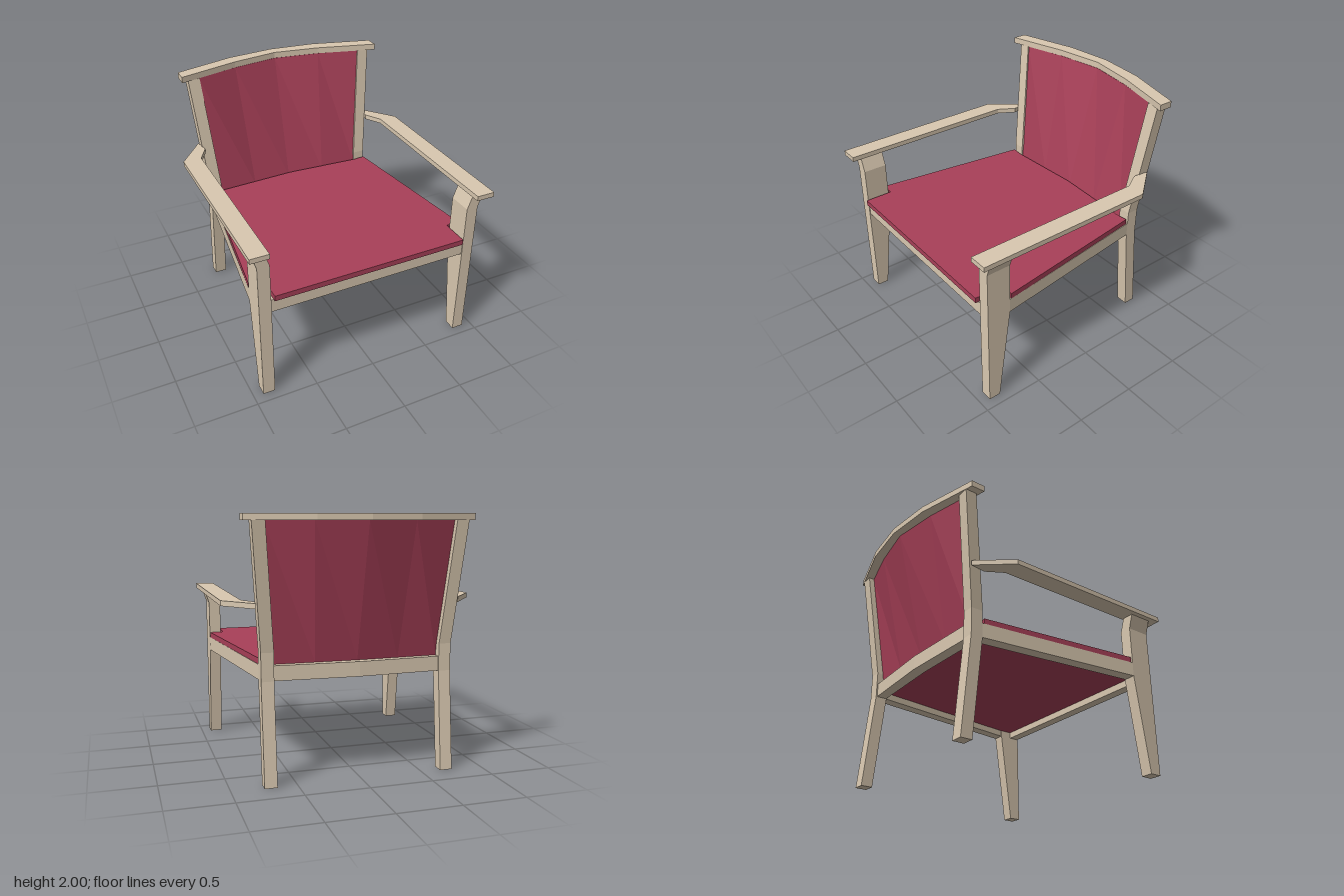
import * as THREE from 'three';

const wood = new THREE.MeshStandardMaterial({ color: 0xd9c8b0, flatShading: true });
const fabric = new THREE.MeshStandardMaterial({ color: 0xa84058, flatShading: true });

// Solid through a row of four-cornered sections, each counter-clockwise seen from the far end
function loft(rings) {
  const pos = [];
  const quad = (a, b, c, d) => [a, b, c, a, c, d].forEach((p) => pos.push(...p));
  for (let i = 0; i < rings.length - 1; i++) {
    for (let j = 0; j < 4; j++) {
      const k = (j + 1) % 4;
      quad(rings[i][j], rings[i][k], rings[i + 1][k], rings[i + 1][j]);
    }
  }
  quad(...[...rings[0]].reverse());
  quad(...rings[rings.length - 1]);
  const geo = new THREE.BufferGeometry();
  geo.setAttribute('position', new THREE.Float32BufferAttribute(pos, 3));
  geo.computeVertexNormals();
  return geo;
}

// Upright post from levels [y, x0, x1, z0, z1]; side -1 mirrors it
function post(levels, side) {
  return loft(levels.map(([y, x0, x1, z0, z1]) => {
    const ring = [[x0, z1], [x1, z1], [x1, z0], [x0, z0]].map(([x, z]) => [side * x, y, z]);
    return side < 0 ? ring.reverse() : ring;
  }));
}

// Flat slab with an [x, z] outline between two heights
function slab(outline, y0, y1) {
  const shape = new THREE.Shape(outline.map(([x, z]) => new THREE.Vector2(x, -z)));
  const geo = new THREE.ExtrudeGeometry(shape, { depth: y1 - y0, bevelEnabled: false });
  return geo.rotateX(-Math.PI / 2).translate(0, y0, 0);
}

const mirrorX = (points, side) => points.map(([x, z]) => [side * x, z]);

// Close a half outline that runs from one centre point to the other
function symmetric(half) {
  const other = mirrorX(half, -1).reverse().filter(([x]) => Math.abs(x) > 1e-6);
  return [...half, ...other];
}

export function createModel() {
  const chair = new THREE.Group();
  chair.name = 'armchair';
  const add = (name, geo, mat) => {
    const mesh = new THREE.Mesh(geo, mat);
    mesh.name = name;
    chair.add(mesh);
  };

  for (const [side, label] of [[1, 'left'], [-1, 'right']]) {
    // Front leg: tapered below the seat, leaning outward under the arm
    add(label + 'FrontLeg', post([
      [0, 0.825, 0.922, 0.825, 0.922],
      [0.785, 0.825, 0.922, 0.725, 0.922],
      [1.21, 0.825, 0.922, 0.725, 0.922],
      [1.325, 0.865, 0.96, 0.725, 0.922],
    ], side), wood);

    // Back leg continues upward as the backrest post
    add(label + 'BackLeg', post([
      [0, 0.655, 0.753, -0.8, -0.705],
      [0.785, 0.655, 0.753, -0.725, -0.627],
      [1.0, 0.655, 0.753, -0.725, -0.627],
      [1.95, 0.73, 0.828, -0.84, -0.745],
    ], side), wood);

    add(label + 'Armrest', slab(mirrorX([
      [1, 1], [1, -0.49], [0.79, -0.755], [0.77, -0.63], [0.85, -0.49], [0.85, 1],
    ], side), 1.325, 1.365), wood);

    add(label + 'SideRail', slab(mirrorX([
      [0.922, 0.725], [0.753, -0.627], [0.66, -0.627], [0.83, 0.725],
    ], side), 0.785, 0.9), wood);
  }

  // Seat frame and bent rails
  add('frontRail', slab([[-0.825, 0.915], [0.825, 0.915], [0.825, 0.83], [-0.825, 0.83]], 0.785, 0.895), wood);
  add('backRail', slab(symmetric([[0, -0.65], [0.655, -0.63], [0.655, -0.715], [0, -0.745]]), 0.785, 0.9), wood);
  add('topRail', slab(symmetric([
    [0, -0.905], [0.385, -0.845], [0.885, -0.71], [0.885, -0.825], [0.39, -0.96], [0, -1],
  ]), 1.95, 2), wood);

  // Seat cushion, notched around the front legs, and its lower layer sunk into the frame
  add('seat', slab(symmetric([
    [0, 0.945], [0.805, 0.945], [0.805, 0.715], [0.92, 0.71], [0.75, -0.61], [0.65, -0.6], [0, -0.635],
  ]), 0.9, 0.945), fabric);
  add('seatBase', slab(symmetric([
    [0, 0.84], [0.835, 0.84], [0.835, 0.72], [0.67, -0.64], [0, -0.66],
  ]), 0.84, 0.9), fabric);

  // Curved back panel: stations [bottom x, bottom z, top x, top z]
  const bottomDepth = 0.03;
  const topDepth = 0.038;
  const half = [[0.655, -0.632, 0.733, -0.755], [0.33, -0.642, 0.385, -0.843]];
  const stations = [
    ...half.map(([a, b, c, d]) => [-a, b, -c, d]),
    [0, -0.65, 0, -0.902],
    ...[...half].reverse(),
  ];
  add('backPanel', loft(stations.map(([bx, bz, tx, tz]) => [
    [bx, 0.9, bz], [bx, 0.9, bz - bottomDepth], [tx, 1.95, tz - topDepth], [tx, 1.95, tz],
  ])), fabric);

  return chair;
}
